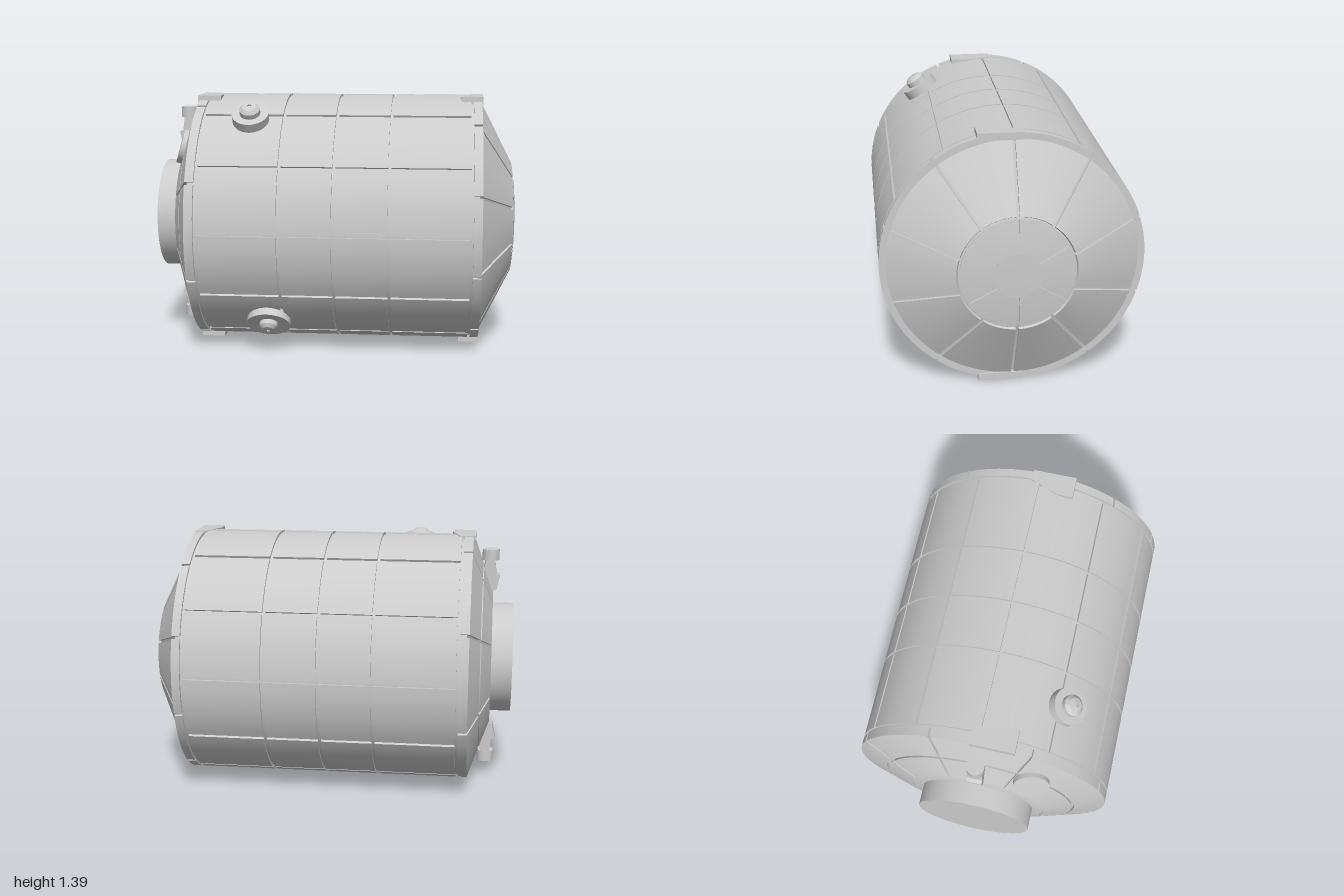
import * as THREE from 'three';
import { toCreasedNormals } from 'three/addons/utils/BufferGeometryUtils.js';

const material = new THREE.MeshStandardMaterial({ color: 0xcccccc, side: THREE.DoubleSide });
const DEPTH = 0.014;   // groove depth
const GAP = 0.016;     // groove width
const R = 0.693;       // hull radius
const CY = 0.695;      // height of the hull axis

function part(parent, name, geometry) {
  const mesh = new THREE.Mesh(toCreasedNormals(geometry, 0.5), material);
  mesh.name = name;
  parent.add(mesh);
  return mesh;
}

// Solid of revolution, profile given as [height, radius]
function turned(profile, segments) {
  return new THREE.LatheGeometry(profile.map(([h, r]) => new THREE.Vector2(r, h)), segments);
}

// One raised plate around the x axis, with skirts sunk into the core on all four edges
function plate(profile, mid, half, columns) {
  const [a, b] = [profile[0], profile[profile.length - 1]];
  const length = Math.hypot(b[0] - a[0], b[1] - a[1]);
  const inward = [(b[1] - a[1]) / length * DEPTH, -(b[0] - a[0]) / length * DEPTH];
  const rows = [a, ...profile, b];
  const geometry = turned(rows, columns + 2);
  const pos = geometry.attributes.position;
  for (let i = 0; i <= columns + 2; i++) {
    const t = THREE.MathUtils.clamp((i - 1) / columns, 0, 1) * 2 - 1;
    for (let j = 0; j < rows.length; j++) {
      const [x, r] = rows[j];
      const sunk = i === 0 || i === columns + 2 || j === 0 || j === rows.length - 1 ? 1 : 0;
      const angle = mid + t * (half - GAP / 2 / r);
      const radius = r + inward[1] * sunk;
      pos.setXYZ(i * rows.length + j, x + inward[0] * sunk,
        -radius * Math.sin(angle), radius * Math.cos(angle));
    }
  }
  return geometry;
}

// Ring of equal plates separated by grooves
function plateRing(parent, name, profile, count, firstGroove) {
  const ring = new THREE.Group();
  ring.name = name;
  const half = Math.PI / count;
  for (let k = 0; k < count; k++) {
    part(ring, 'plate', plate(profile, firstGroove + half * (2 * k + 1), half, Math.round(96 / count)));
  }
  parent.add(ring);
}

function polygon(points, depth) {
  const shape = new THREE.Shape(points.map(([x, y]) => new THREE.Vector2(x, y)));
  return new THREE.ExtrudeGeometry(shape, { depth, bevelEnabled: false });
}

// Round part standing out from the hull; angle runs from up (+y) towards the front (+z)
function pod(parent, name, x, angle, profile) {
  const mesh = part(parent, name, turned(profile, 36));
  mesh.position.x = x;
  mesh.rotation.x = angle;
}

export function createModel() {
  const model = new THREE.Group();
  model.name = 'tank';
  const hull = new THREE.Group();
  hull.name = 'hull';
  hull.position.y = CY;
  model.add(hull);

  // Inner core seen at the bottom of the grooves
  const d = DEPTH;
  part(hull, 'core', turned([
    [-0.885, 0], [-0.885, 0.37 - d], [-0.77 + d, 0.68 - d / 2], [-0.77 + d, R - d], [0.80 - d, R - d],
    [0.80 - d, 0.652], [0.98 - d, 0.31 - d / 2], [0.982 - d, 0.295], [1 - d, 0.12], [1 - d, 0],
  ], 96).rotateZ(-Math.PI / 2));

  // Cylindrical shell plates
  for (const [x0, x1] of [[-0.707, -0.278], [-0.262, 0.012], [0.028, 0.307], [0.323, 0.742]]) {
    plateRing(hull, 'shellPlates', [[x0, R], [x1, R]], 12, 0);
  }
  plateRing(hull, 'rightRim', [[-0.77, R], [-0.722, R]], 8, Math.PI / 8);
  plateRing(hull, 'leftRim', [[0.757, R], [0.802, R]], 10, Math.PI / 2);
  part(hull, 'leftRimFace', turned([[0.80, R - 0.004], [0.80, 0.655]], 96).rotateZ(-Math.PI / 2));

  // Right end: stepped cone and connecting collar
  plateRing(hull, 'rightInnerCone', [[-0.885, 0.37], [-0.832, 0.518]], 8, Math.PI / 8);
  plateRing(hull, 'rightOuterCone', [[-0.827, 0.532], [-0.77, R - 0.003]], 8, Math.PI / 8);
  part(hull, 'collar', turned([[-1, 0], [-1, 0.307], [-0.87, 0.307]], 64).rotateZ(-Math.PI / 2));

  // Left end: cone plates and slotted cap
  plateRing(hull, 'leftCone', [[0.80, 0.658], [0.978, 0.311]], 10, Math.PI / 2);
  plateRing(hull, 'capSegments', [[0.981, 0.296], [0.992, 0.21], [0.998, 0.12]], 6, Math.PI / 2);
  part(hull, 'capCentre', turned([[0.98, 0.122], [0.998, 0.122], [1, 0]], 48).rotateZ(-Math.PI / 2));

  // Instrument pods on the front side
  pod(hull, 'upperPod', -0.45, THREE.MathUtils.degToRad(33.5), [
    [0.62, 0.1], [0.74, 0.1], [0.74, 0.056], [0.768, 0.056], [0.785, 0.038], [0.79, 0.012],
    [0.782, 0.012], [0.782, 0],
  ]);
  pod(hull, 'lowerPod', -0.35, THREE.MathUtils.degToRad(138), [
    [0.62, 0.12], [0.725, 0.12], [0.715, 0.05], [0.74, 0.05], [0.757, 0.032], [0.762, 0.01],
    [0.755, 0.01], [0.755, 0],
  ]);

  // Round hatch lying on the right cone
  const hatch = part(hull, 'hatch', new THREE.CylinderGeometry(0.095, 0.095, 0.05, 36));
  const hatchAngle = THREE.MathUtils.degToRad(34.5);
  hatch.position.set(-0.838, 0.505 * Math.cos(hatchAngle), 0.505 * Math.sin(hatchAngle));
  const normal = new THREE.Vector3(-0.94, 0.34 * Math.cos(hatchAngle), 0.34 * Math.sin(hatchAngle));
  hatch.quaternion.setFromUnitVectors(new THREE.Vector3(0, 1, 0), normal.normalize());

  // Brackets and thruster arms, mirrored top and bottom
  const brackets = {
    rightBracket: [[-0.78, -0.052], [-0.69, -0.052], [-0.65, 0.1], [-0.65, 0.185], [-0.78, 0.185]],
    leftBracket: [[0.81, -0.052], [0.75, -0.052], [0.69, 0.1], [0.69, 0.185], [0.81, 0.185]],
  };
  for (const side of [1, -1]) {
    const fittings = new THREE.Group();
    fittings.name = side > 0 ? 'topFittings' : 'bottomFittings';
    for (const [name, outline] of Object.entries(brackets)) {
      const plateGeometry = polygon(outline, 0.04).rotateX(Math.PI / 2);
      plateGeometry.translate(0, 0.695, 0).scale(1, side, 1);
      part(fittings, name, plateGeometry);
    }
    const arm = polygon([
      [-0.89, 0.57], [-0.845, 0.57], [-0.81, 0.45], [-0.85, 0.36], [-0.905, 0.40], [-0.92, 0.475], [-0.9, 0.485],
    ], 0.08).translate(0, 0, -0.04);
    part(fittings, 'thrusterArm', arm.scale(1, side, 1));
    const cap = new THREE.CylinderGeometry(0.047, 0.047, 0.06, 28).translate(-0.867, side * 0.588, 0);
    part(fittings, 'thrusterCap', cap);
    hull.add(fittings);
  }
  return model;
}
